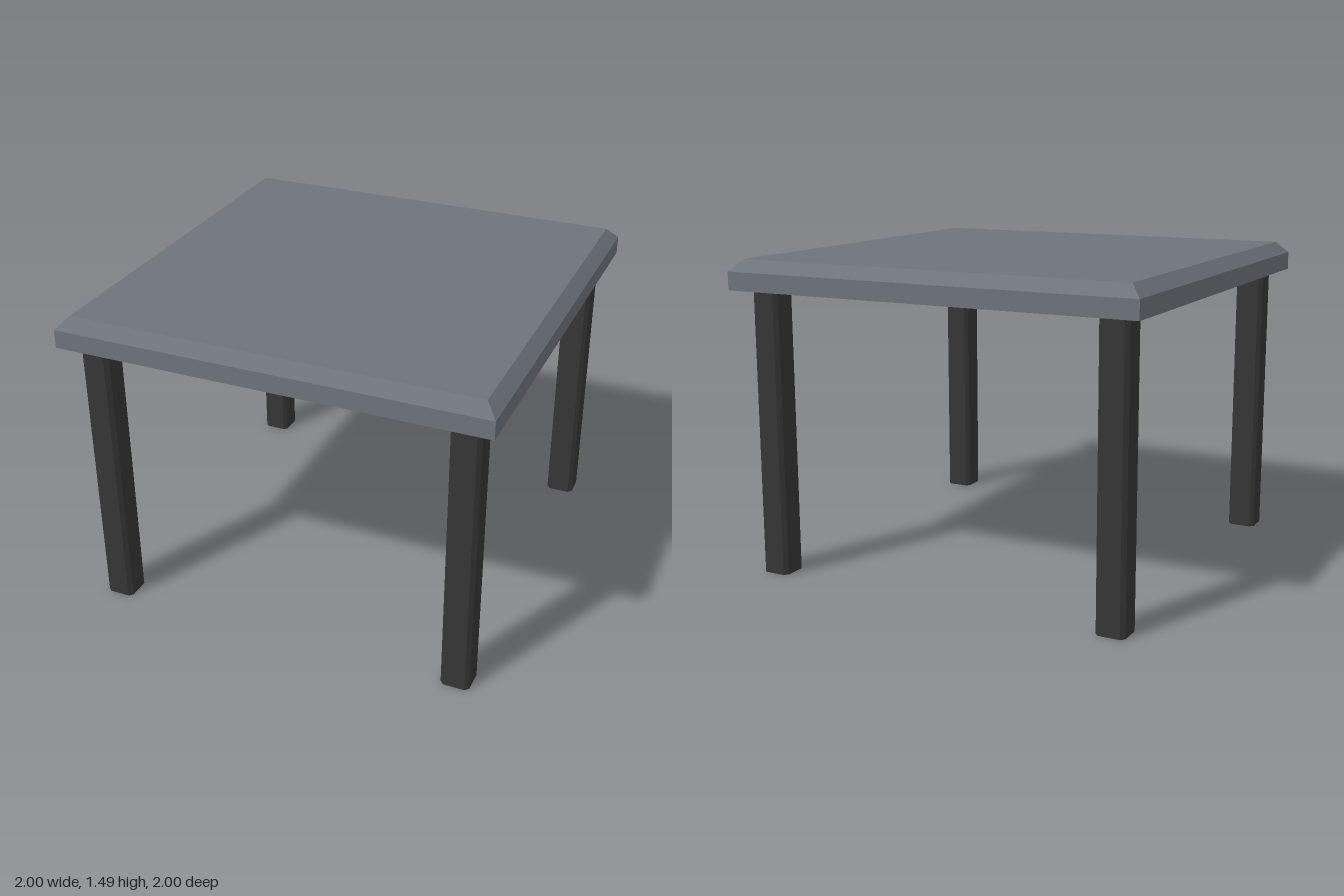
import * as THREE from 'three';

const slate = new THREE.MeshStandardMaterial({ color: 0x6e747c });
slate.name = 'slate grey';
const charcoal = new THREE.MeshStandardMaterial({ color: 0x363636 });
charcoal.name = 'charcoal';

const LEG_HEIGHT = 1.345, EDGE_TOP = 1.43, TABLE_TOP = 1.485;

// Square slab with a vertical edge and a sloped bevel around the top
function createTabletop() {
  const half = 1, inset = 0.053;
  const box = new THREE.BoxGeometry(2 * half, 2, 2 * half, 1, 2, 1);
  const rows = [LEG_HEIGHT, EDGE_TOP, TABLE_TOP];
  const pos = box.attributes.position;
  for (let i = 0; i < pos.count; i++) {
    const row = Math.round(pos.getY(i)) + 1;
    const r = row === 2 ? half - inset : half;
    pos.setXYZ(i, Math.sign(pos.getX(i)) * r, rows[row], Math.sign(pos.getZ(i)) * r);
  }
  const geometry = box.toNonIndexed();
  geometry.computeVertexNormals();
  const mesh = new THREE.Mesh(geometry, slate);
  mesh.name = 'tabletop';
  return mesh;
}

// Square post with chamfered corners, extruded upward
function createLegGeometry() {
  const h = 0.0675, c = h - 0.018;
  const outline = [[h, -c], [h, c], [c, h], [-c, h], [-h, c], [-h, -c], [-c, -h], [c, -h]];
  const shape = new THREE.Shape(outline.map(([x, y]) => new THREE.Vector2(x, y)));
  const geometry = new THREE.ExtrudeGeometry(shape, { depth: LEG_HEIGHT, bevelEnabled: false });
  return geometry.rotateX(-Math.PI / 2);
}

export function createModel() {
  const table = new THREE.Group();
  table.name = 'table';
  table.add(createTabletop());

  // Four legs, one near each corner
  const legGeometry = createLegGeometry();
  for (const [side, x] of [['Left', 1], ['Right', -1]]) {
    for (const [end, z] of [['front', 1], ['back', -1]]) {
      const leg = new THREE.Mesh(legGeometry, charcoal);
      leg.name = `${end}${side}Leg`;
      leg.position.set(x * 0.86, 0, z * 0.863);
      table.add(leg);
    }
  }
  return table;
}
